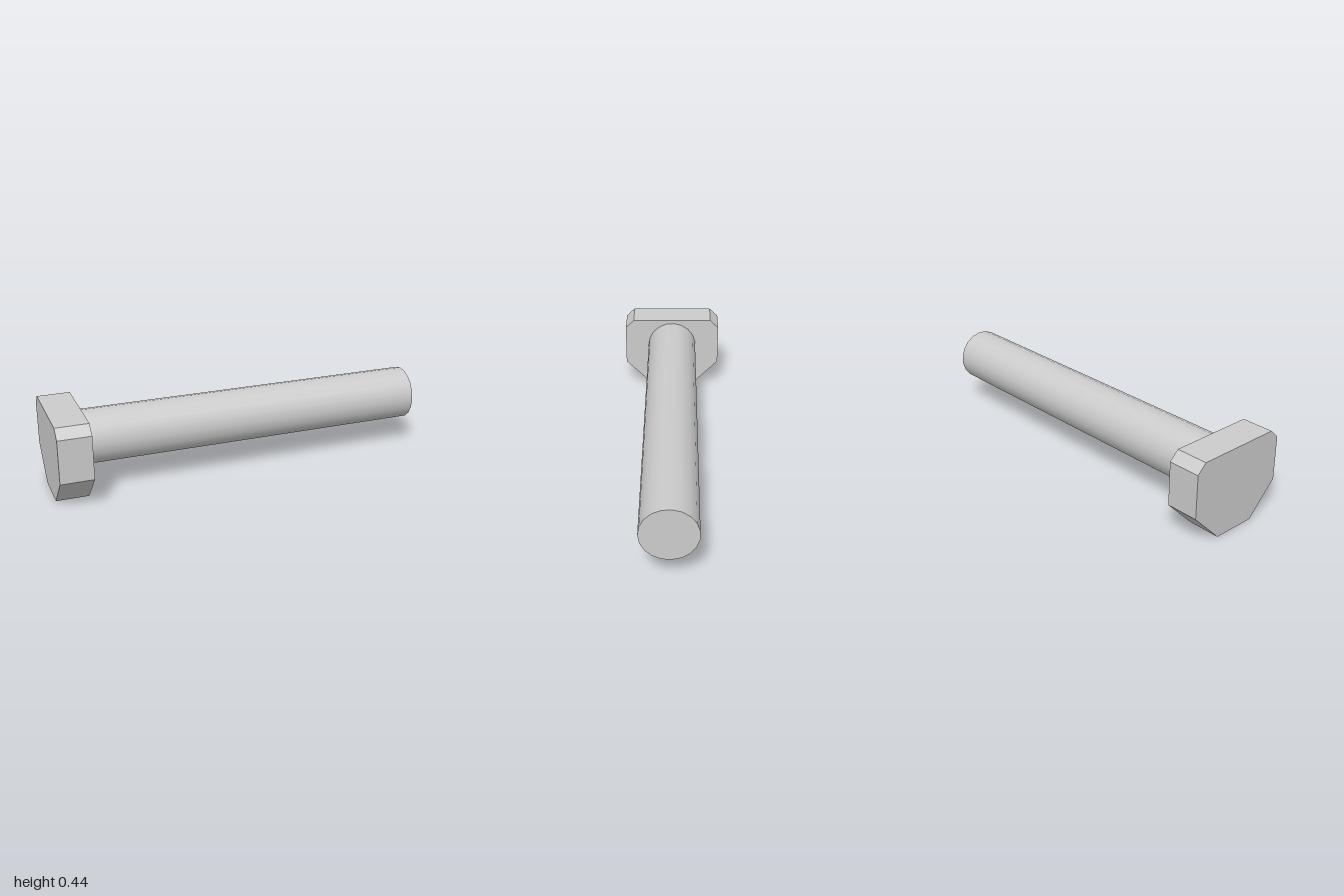
import * as THREE from 'three';

export function createModel() {
  const group = new THREE.Group();
  const headBack = -1, headFront = -0.83, tip = 1;

  // Head: flat plate with clipped corners, extruded along x
  const half = [[0.115, 0], [0.277, 0.163], [0.277, 0.391], [0.229, 0.438]];
  const mirrored = half.map(([x, y]) => [-x, y]).reverse();
  const outline = new THREE.Shape([...half, ...mirrored].map(([x, y]) => new THREE.Vector2(x, y)));
  const headGeometry = new THREE.ExtrudeGeometry(outline, { depth: headFront - headBack, bevelEnabled: false });
  headGeometry.rotateY(Math.PI / 2).translate(headBack, 0, 0);
  const head = new THREE.Mesh(headGeometry, new THREE.MeshStandardMaterial({ color: 0xcccccc, flatShading: true }));
  head.name = 'boltHead';

  // Shank: smooth 19-sided rod lying along x
  const shankGeometry = new THREE.CylinderGeometry(0.141, 0.141, tip - headFront, 19);
  shankGeometry.rotateZ(-Math.PI / 2).translate((tip + headFront) / 2, 0.277, 0);
  const shank = new THREE.Mesh(shankGeometry, new THREE.MeshStandardMaterial({ color: 0xcccccc }));
  shank.name = 'boltShank';

  group.add(head, shank);
  return group;
}
